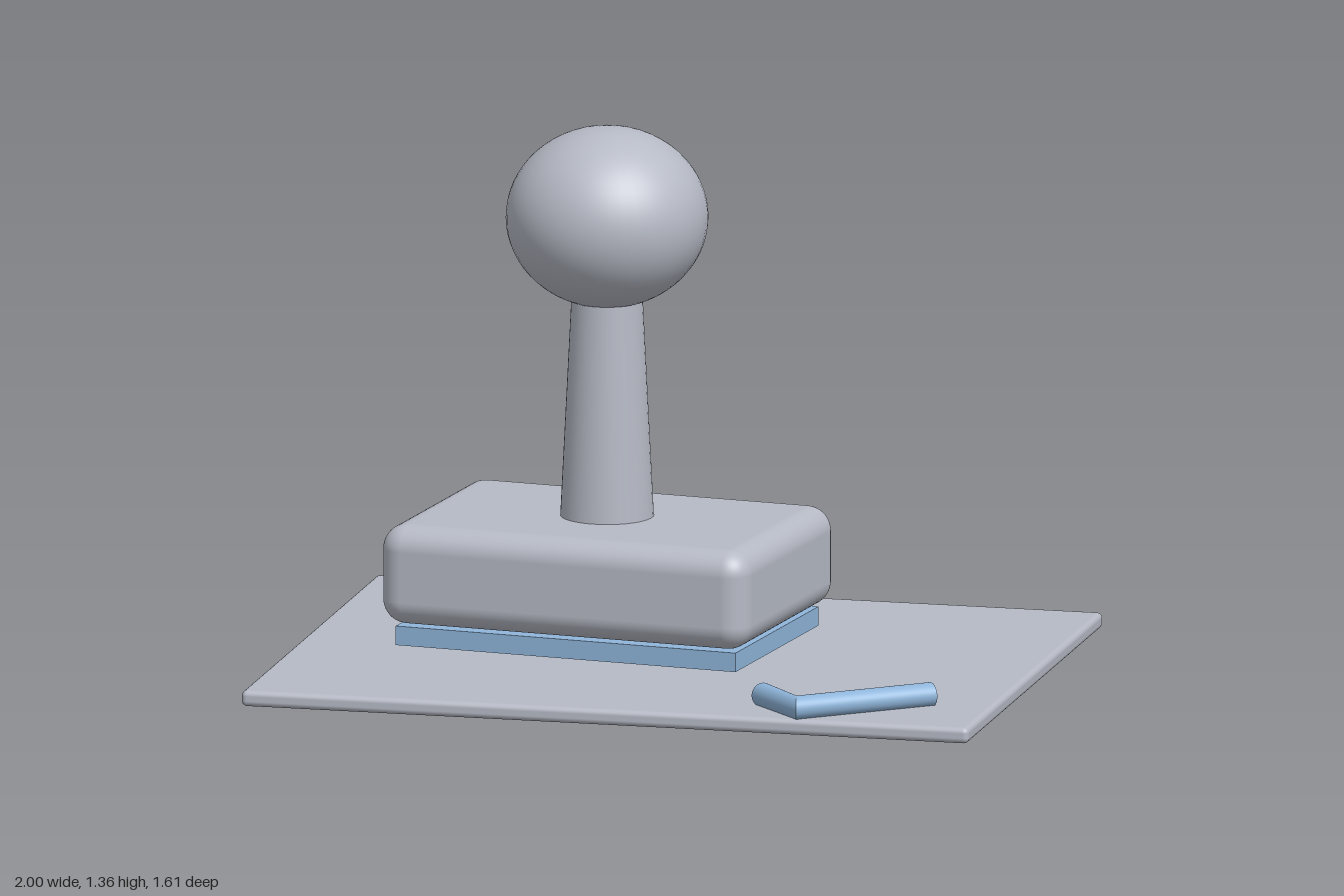
import * as THREE from 'three';
import { RoundedBoxGeometry } from 'three/addons/geometries/RoundedBoxGeometry.js';

const grey = new THREE.MeshStandardMaterial({ color: 0xb6bac5 });
grey.name = 'softGrey';
const blue = new THREE.MeshStandardMaterial({ color: 0x8fb5da });
blue.name = 'inkBlue';

// Round bar between two cross-sections; each end is a centre and a sideways half-width vector
function barGeometry(from, to, radius) {
  const geo = new THREE.CylinderGeometry(1, 1, 1, 40);
  const pos = geo.attributes.position;
  const side = new THREE.Vector3();
  const point = new THREE.Vector3();
  for (let i = 0; i < pos.count; i++) {
    const t = pos.getY(i) + 0.5;
    side.lerpVectors(from.side, to.side, t);
    point.lerpVectors(from.centre, to.centre, t).addScaledVector(side, pos.getX(i));
    point.y += radius * pos.getZ(i);
    pos.setXYZ(i, point.x, point.y, point.z);
  }
  geo.computeVertexNormals();
  return geo;
}

// Cross-section from its inner and outer corner on the ground plane
function section(innerX, innerZ, outerX, outerZ, y) {
  const inner = new THREE.Vector3(innerX, y, innerZ);
  const outer = new THREE.Vector3(outerX, y, outerZ);
  return {
    centre: inner.clone().add(outer).multiplyScalar(0.5),
    side: outer.clone().sub(inner).multiplyScalar(0.5),
  };
}

export function createModel() {
  const model = new THREE.Group();
  model.name = 'deskStamp';

  function add(name, geometry, material, x, y, z, parent = model) {
    const mesh = new THREE.Mesh(geometry, material);
    mesh.name = name;
    mesh.position.set(x, y, z);
    parent.add(mesh);
    return mesh;
  }

  // Sheet lying slightly turned under the stamp
  const sheet = add('sheet', new RoundedBoxGeometry(1.845, 0.04, 1.4, 3, 0.014), grey, 0, 0.02, 0);
  sheet.rotation.y = 0.12;

  // Stamp: ink pad, block, tapered shaft and flattened knob
  const stamp = new THREE.Group();
  stamp.name = 'stamp';
  stamp.position.set(-0.157, 0, 0.037);
  model.add(stamp);
  add('inkPad', new THREE.BoxGeometry(0.895, 0.048, 0.58), blue, 0, 0.1, 0, stamp);
  add('block', new RoundedBoxGeometry(0.968, 0.25, 0.66, 6, 0.062), grey, 0, 0.255, 0, stamp);
  add('shaft', new THREE.CylinderGeometry(0.087, 0.116, 0.58, 40), grey, 0, 0.66, 0, stamp);
  const knob = add('knob', new THREE.SphereGeometry(0.25, 48, 32), grey, 0, 1.132, 0, stamp);
  knob.scale.y = 0.9;

  // Tick mark: two bars meeting in a mitre
  const tick = new THREE.Group();
  tick.name = 'tickMark';
  model.add(tick);
  const y = 0.064;
  const start = section(0.447, 0.476, 0.404, 0.515, y);
  const bend = section(0.546, 0.576, 0.57, 0.645, y);
  const end = section(0.789, 0.323, 0.837, 0.366, y);
  add('tickShortArm', barGeometry(start, bend, 0.03), blue, 0, 0, 0, tick);
  add('tickLongArm', barGeometry(bend, end, 0.03), blue, 0, 0, 0, tick);

  return model;
}
